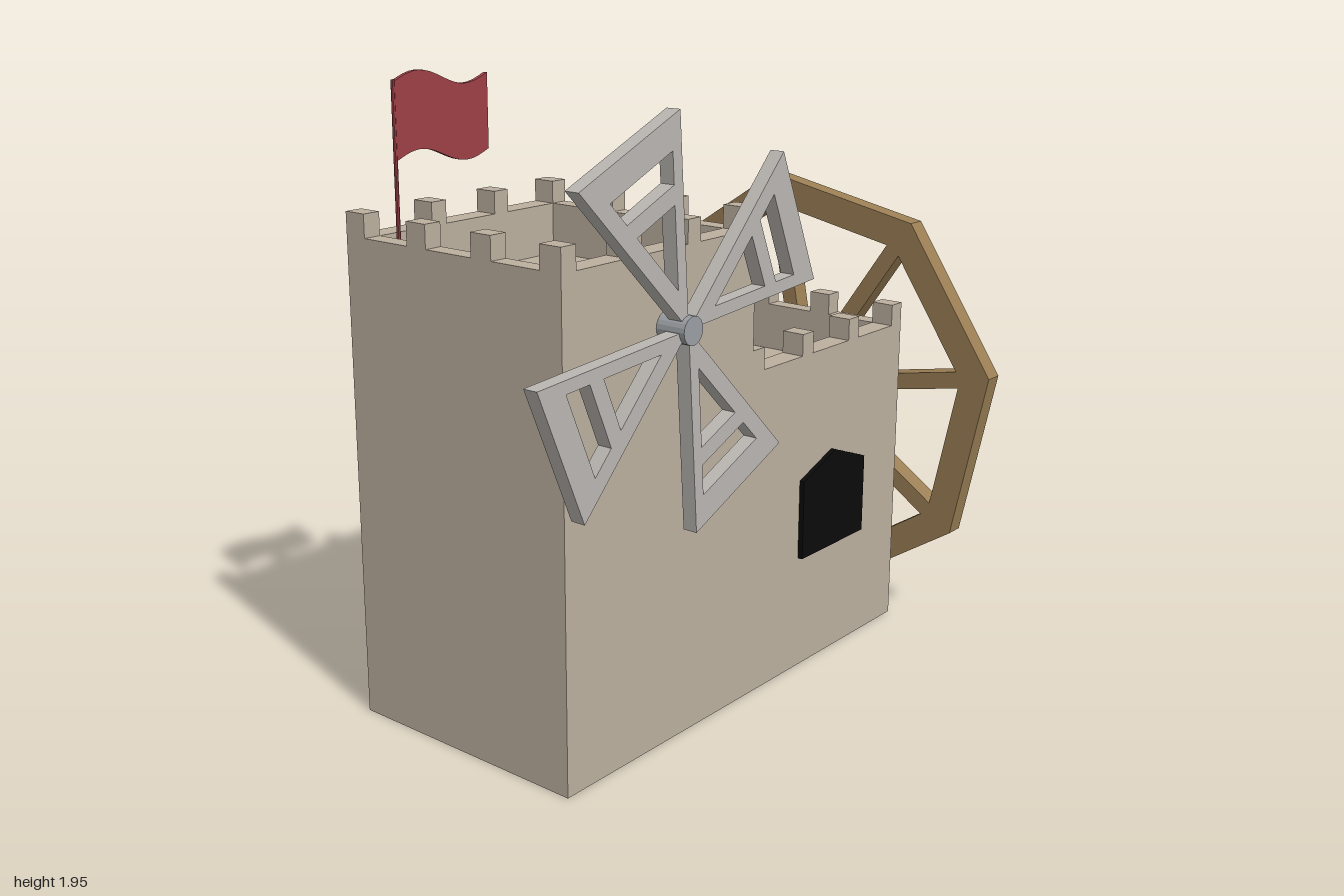
import * as THREE from 'three';

const material = (color, side = THREE.FrontSide) =>
  new THREE.MeshStandardMaterial({ color, side, flatShading: true });
const stone = material(0xbcaf9f);
const wood = material(0x9b7f55);
const sailGrey = material(0xbab6b2);
const metal = material(0x9a9ea2);
const black = material(0x0a0a0a);
const red = material(0x9c4046);

const Z0 = -0.412, Z1 = 0.418; // back and front of the masonry
const WX = 0.058, WZ = 0.076;  // parapet thickness along x and z

function add(parent, name, geometry, mat) {
  const mesh = new THREE.Mesh(geometry, mat);
  mesh.name = name;
  parent.add(mesh);
  return mesh;
}

// Box given by its minimum and maximum corners
function block(parent, name, x0, x1, y0, y1, z0, z1, mat) {
  const mesh = add(parent, name, new THREE.BoxGeometry(x1 - x0, y1 - y0, z1 - z0), mat);
  mesh.position.set((x0 + x1) / 2, (y0 + y1) / 2, (z0 + z1) / 2);
  return mesh;
}

const shapeOf = (pts) => new THREE.Shape(pts.map(([x, y]) => new THREE.Vector2(x, y)));
const extrude = (shape, depth) =>
  new THREE.ExtrudeGeometry(shape, { depth, bevelEnabled: false, curveSegments: 12 });

// Battlemented building with a sunken roof
function building(name, x0, x1, floor, top) {
  const g = new THREE.Group();
  g.name = name;
  block(g, 'body', x0, x1, 0, floor, Z0, Z1, stone);
  const rect = (a, b, c, d) => [[a, c], [b, c], [b, d], [a, d]];
  const wall = shapeOf(rect(x0, x1, -Z1, -Z0));
  wall.holes.push(shapeOf(rect(x0 + WX, x1 - WX, -Z1 + WZ, -Z0 - WZ)));
  const parapet = add(g, 'parapet', extrude(wall, top - floor), stone);
  parapet.rotation.x = -Math.PI / 2;
  parapet.position.y = floor;
  // Four merlons a side, shared at the corners
  for (let i = 0; i < 4; i++) {
    for (let j = 0; j < 4; j++) {
      if (i % 3 !== 0 && j % 3 !== 0) continue;
      const x = x0 + (x1 - x0 - WX) * i / 3;
      const z = Z0 + (Z1 - Z0 - WZ) * j / 3;
      block(g, 'merlon', x, x + WX, top, top + 0.07, z, z + WZ, stone);
    }
  }
  return g;
}

// Eight-sided wheel with spokes running to its corners
function waterWheel() {
  const g = new THREE.Group();
  g.name = 'waterWheel';
  const R = 0.755, half = Math.PI / 8, w = 0.028;
  const apothem = R * Math.cos(half) - 0.1;
  const start = Math.PI / 2 - 0.192;
  const polar = (r, a) => [r * Math.cos(a), r * Math.sin(a)];
  const corners = [];
  for (let i = 0; i < 8; i++) corners.push(polar(R, start + i * 2 * half));
  const shape = shapeOf(corners);
  const t = (apothem - w * Math.sin(half)) / Math.cos(half);
  const r = Math.hypot(t, w), da = Math.atan2(w, t);
  for (let i = 0; i < 8; i++) {
    const a = start + i * 2 * half, b = a + 2 * half;
    shape.holes.push(shapeOf([
      polar(w / Math.sin(half), a + half), polar(r, a + da), polar(r, b - da),
    ]));
  }
  // Shape x becomes -z mirrored into place by the quarter turn
  const rim = add(g, 'rimAndSpokes', extrude(shape, 0.065), wood);
  rim.rotation.y = Math.PI / 2;
  rim.position.x = 0.905;
  rim.scale.x = 1;
  rim.rotation.x = 0;
  const axle = add(g, 'wheelAxle', new THREE.CylinderGeometry(0.042, 0.042, 0.145, 20), metal);
  axle.rotation.z = Math.PI / 2;
  axle.position.x = 0.9275;
  g.position.y = 0.757;
  return g;
}

// One sail: a triangular frame with a crossbar
function sailShape() {
  const B = new THREE.Vector2(-0.043, 0.605), C = new THREE.Vector2(-0.444, 0.433);
  const b = B.clone().normalize(), c = C.clone().normalize();
  const nb = new THREE.Vector2(-b.y, b.x), nc = new THREE.Vector2(c.y, -c.x);
  const edge = C.clone().sub(B);
  const normal = new THREE.Vector2(edge.y, -edge.x).normalize();
  const D = normal.dot(B);
  // Point on the inner side of an arm at a fraction of the sail's length
  const onArm = (dir, n, offset, f) => {
    const p = n.clone().multiplyScalar(offset);
    return p.addScaledVector(dir, (f * D - normal.dot(p)) / normal.dot(dir));
  };
  const pb = (f) => onArm(b, nb, 0.038, f), pc = (f) => onArm(c, nc, 0.052, f);
  // Where the two inner arm edges meet
  const p0 = nb.clone().multiplyScalar(0.038);
  const apex = p0.clone().addScaledVector(b, (0.052 - nc.dot(p0)) / nc.dot(b));
  const shape = new THREE.Shape([new THREE.Vector2(0, 0), B, C]);
  shape.holes.push(new THREE.Shape([apex, pb(0.61), pc(0.61)]));
  shape.holes.push(new THREE.Shape([pb(0.7), pb(0.85), pc(0.85), pc(0.7)]));
  return shape;
}

function windmill() {
  const g = new THREE.Group();
  g.name = 'windmill';
  const geometry = extrude(sailShape(), 0.047);
  for (let i = 0; i < 4; i++) {
    const sail = add(g, 'sail', geometry, sailGrey);
    sail.rotation.z = i * Math.PI / 2;
    sail.position.z = 0.452;
  }
  const hub = add(g, 'windmillHub', new THREE.CylinderGeometry(0.042, 0.042, 0.178, 20), metal);
  hub.rotation.x = Math.PI / 2;
  hub.position.z = 0.427;
  g.position.set(-0.382, 1.276, 0);
  return g;
}

function flag() {
  const g = new THREE.Group();
  g.name = 'flag';
  const pole = add(g, 'flagPole', new THREE.CylinderGeometry(0.006, 0.006, 0.61, 8), red);
  pole.position.set(-0.712, 1.625, 0);
  // Cloth waving up and down along its length
  const pts = [], n = 16;
  const wave = (i) => 0.025 * Math.sin(i / n * Math.PI * 2);
  for (let i = 0; i <= n; i++) pts.push([-0.712 + 0.362 * i / n, 1.703 + wave(i)]);
  for (let i = n; i >= 0; i--) pts.push([-0.712 + 0.362 * i / n, 1.926 + wave(i)]);
  add(g, 'flagCloth', extrude(shapeOf(pts), 0.014), red).position.z = -0.007;
  g.position.z = -0.297;
  return g;
}

export function createModel() {
  const model = new THREE.Group();
  model.name = 'castleMill';
  model.add(building('tallTower', -0.806, 0.033, 1.33, 1.49));
  model.add(building('lowerHall', 0.033, 0.873, 0.89, 1.05));
  model.add(waterWheel(), windmill(), flag());

  // Pointed doorway on the front wall
  const opening = shapeOf([[0.297, 0.378], [0.648, 0.378], [0.648, 0.64], [0.473, 0.705], [0.297, 0.64]]);
  add(model, 'doorway', extrude(opening, 0.017), black).position.z = Z1;
  return model;
}
